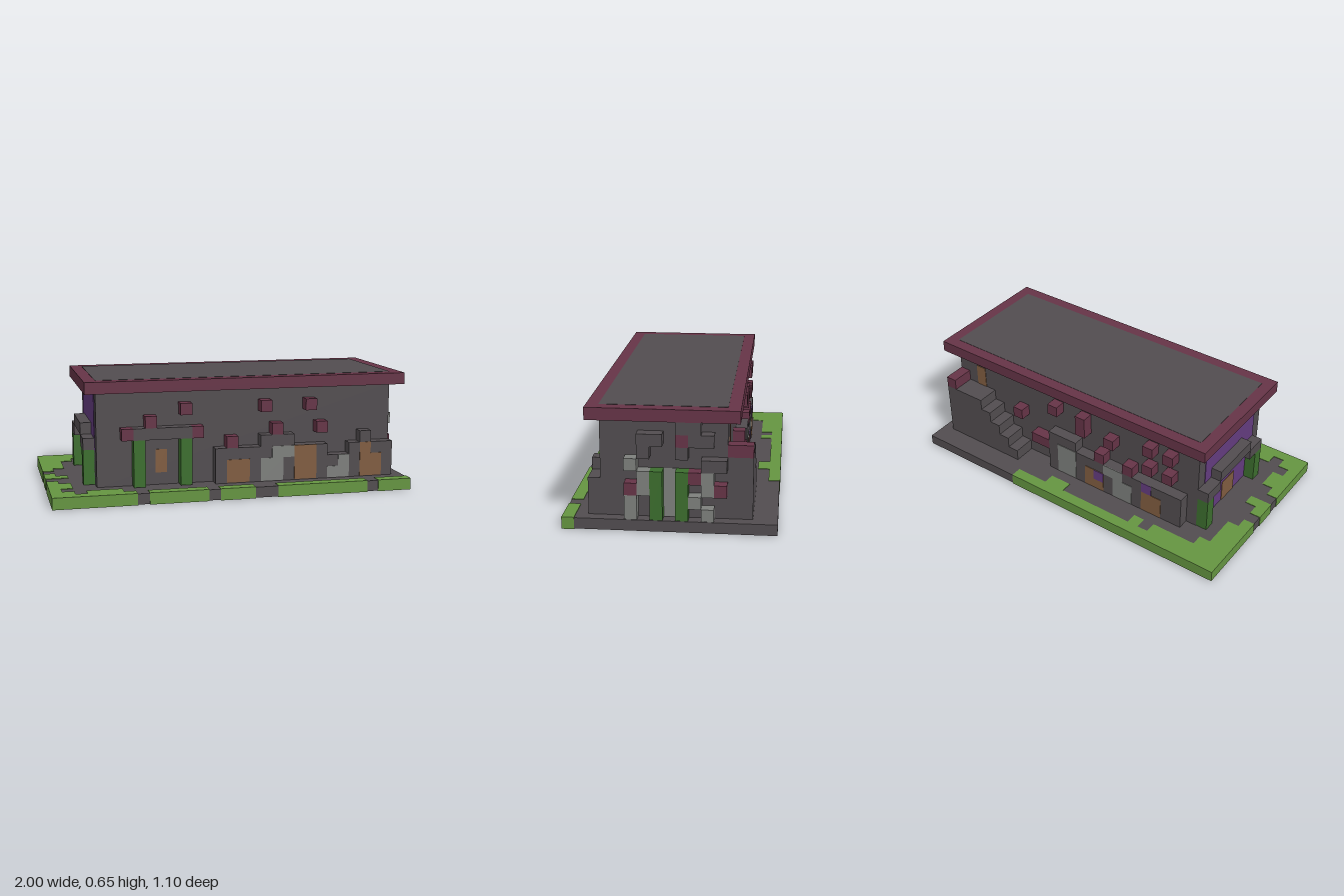
import * as THREE from 'three';

const V = 2 / 31; // one block; the layout grid is 31 x 10 x 17 blocks
const E = 0.003;  // thickness of painted plates

const mat = (name, color) => new THREE.MeshStandardMaterial({ name, color });
const stone = mat('dark stone', 0x524d50);
const red = mat('dark red', 0x663447);
const leaf = mat('leaf green', 0x3c6e2e);
const grass = mat('grass green', 0x659541);
const pale = mat('pale stone', 0x7e807d);
const wood = mat('wood brown', 0x815d41);
const purple = mat('purple', 0x643c80);

export function createModel() {
  const model = new THREE.Group();

  // box from block coordinates, grown by g on the axes given (world units)
  function box(parent, name, m, x0, x1, y0, y1, z0, z1, gx = 0, gy = 0, gz = 0) {
    const geo = new THREE.BoxGeometry((x1 - x0) * V + 2 * gx, (y1 - y0) * V + 2 * gy, (z1 - z0) * V + 2 * gz);
    const mesh = new THREE.Mesh(geo, m);
    mesh.name = name;
    mesh.position.set(((x0 + x1) / 2 - 15.5) * V, ((y0 + y1) / 2) * V, ((z0 + z1) / 2 - 8.5) * V);
    parent.add(mesh);
    return mesh;
  }
  function group(name) {
    const g = new THREE.Group();
    g.name = name;
    model.add(g);
    return g;
  }

  // ground slab with grass blocks around its edge
  const ground = group('ground');
  box(ground, 'slab', stone, 0, 31, 0, 1, 0, 17, -E, -E, -E);
  const grassRuns = [
    [0, 21, 0, 1], [0, 7, 1, 2], [8, 9, 1, 2], [16, 18, 1, 2],
    [0, 3, 2, 3], [0, 2, 3, 6], [0, 1, 6, 7], [0, 1, 8, 9], [0, 2, 9, 10],
    [0, 1, 11, 12], [0, 2, 12, 14], [0, 1, 14, 15], [0, 2, 15, 16], [3, 6, 15, 16],
    [0, 7, 16, 17], [8, 13, 16, 17], [14, 17, 16, 17], [19, 27, 16, 17], [28, 31, 16, 17],
  ];
  for (const [x0, x1, z0, z1] of grassRuns) box(ground, 'grass', grass, x0, x1, 0, 1, z0, z1);
  // earth and grass on the underside
  box(ground, 'earth', wood, 4, 29, 0.025, 0.1, 3, 14);
  for (const [x0, x1] of [[12, 26], [27.5, 28.5], [5, 6]]) {
    box(ground, 'undersideGrass', grass, x0, x1, 0, 0.1, 5, 13);
  }

  // main block and roof
  box(model, 'walls', stone, 4, 30, 0.9, 9, 4, 14);
  const roof = group('roof');
  box(roof, 'roofRim', red, 3, 31, 9, 10, 3, 15);
  box(roof, 'roofDeck', stone, 4, 30, 9.9, 10, 4, 14, 0, E / 2, 0);

  // front wing with a stepped top
  const front = group('frontWing');
  for (const [x0, x1, top] of [[14, 18, 4], [18, 21, 5], [21, 24, 4], [24, 26, 3], [26, 27, 4], [27, 28, 5], [28, 30, 4]]) {
    box(front, 'wingBlock', stone, x0, x1, 0.9, top, 14, 15);
  }
  const frontPaint = [
    [wood, 15, 17, 1, 3], [pale, 18, 20, 1, 3], [pale, 19, 21, 3, 4], [wood, 21, 23, 1, 4],
    [pale, 24, 25, 1, 2], [pale, 25, 26, 1, 3], [wood, 27, 28, 1, 4], [wood, 28, 29, 1, 3],
  ];
  for (const [m, x0, x1, y0, y1] of frontPaint) box(front, 'frontPanel', m, x0, x1, y0, y1, 14.95, 15, 0, 0, E);

  // front portico
  const portico = group('frontPortico');
  for (const x of [7, 11]) box(portico, 'greenColumn', leaf, x, x + 1, 1, 5, 14, 15);
  box(portico, 'lintel', stone, 7, 12, 5, 6, 14, 15);
  box(portico, 'frontDoor', wood, 9, 10, 2, 4, 13.95, 14, 0, 0, E);

  // red blocks standing out from the front wall
  for (const [x, y] of [[11, 7], [18, 7], [22, 7], [8, 6], [6, 5], [12, 5], [15, 4], [19, 5], [23, 5]]) {
    box(model, 'frontBrick', red, x, x + 1, y, y + 1, 14, 15);
  }

  // outside staircase on the back
  const stairs = group('staircase');
  for (const [x0, x1, top] of [[22, 23, 2], [23, 24, 3], [24, 25, 4], [25, 26, 5], [26, 30, 6]]) {
    box(stairs, 'step', stone, x0, x1, 0.9, top, 2, 4);
  }
  box(stairs, 'topBlock', red, 29, 30, 6, 7, 2, 4);
  box(stairs, 'upperDoor', wood, 27, 28, 6, 8, 4, 4.05, 0, 0, E);

  // back wing
  const back = group('backWing');
  box(back, 'lowWing', stone, 5, 16, 0.9, 4, 3, 4);
  box(back, 'tallWing', stone, 16, 19, 0.9, 5, 3, 4);
  const backPaint = [
    [pale, 16, 18, 1, 4], [wood, 13, 15, 1, 3], [purple, 13, 14, 2, 3, 1], [pale, 10, 12, 1, 3],
    [pale, 11, 13, 3, 4], [wood, 7, 9, 1, 3], [purple, 8, 9, 3, 4],
  ];
  for (const [m, x0, x1, y0, y1, lift = 0] of backPaint) {
    box(back, 'backPanel', m, x0, x1, y0, y1, 3, 3.05, 0, 0, E * (1 + lift));
  }
  for (const [x, y, w, h] of [[22, 5, 1, 1], [18, 7, 1, 1], [15, 6, 1, 2], [19, 3, 2, 1], [12, 6, 1, 1],
    [8, 7, 1, 1], [6, 7, 1, 1], [13, 4, 1, 1], [10, 4, 1, 1], [8, 5, 1, 1], [6, 5, 1, 1]]) {
    box(model, 'backBrick', red, x, x + w, y, y + h, 3, 4);
  }

  // purple side wall with its porch
  const porch = group('sidePorch');
  box(porch, 'purpleWall', purple, 4, 4.05, 1, 9, 5, 13, E, 0, 0);
  box(porch, 'sideDoor', wood, 4, 4.05, 1, 3, 8, 10, E * 2, 0, 0);
  for (const z of [4, 12]) box(porch, 'porchPost', leaf, 3, 4, 1, 4, z, z + 1);
  for (const z of [4, 11]) box(porch, 'porchBeam', stone, 3, 4, 4, 5, z, z + 2);
  box(porch, 'porchTop', stone, 3, 4, 5, 6, 6, 11);

  // ruined block pattern on the other end: [material, z, y, height, width]
  const ruin = group('endWallBlocks');
  const blocks = [
    [pale, 11, 1, 2], [red, 11, 3, 1], [pale, 10, 3, 2], [pale, 11, 5, 1], [pale, 10, 4, 1],
    [leaf, 9, 1, 4], [leaf, 7, 1, 4], [red, 6, 4, 1], [pale, 6, 2, 1],
    [pale, 5, 1, 1], [pale, 5, 3, 2], [red, 4, 3, 1],
    [stone, 9, 7, 1, 2], [red, 7, 7, 1], [stone, 7, 6, 1], [stone, 5, 7, 1, 2], [stone, 6, 8, 1, 2],
    [stone, 10, 6, 1], [stone, 4, 5, 1, 2],
  ];
  for (const [m, z, y, h, w = 1] of blocks) box(ruin, 'endBlock', m, 30, 31, y, y + h, z, z + w);
  box(ruin, 'palePanel', pale, 29.95, 30, 1, 5, 8, 9, E, 0, 0);

  return model;
}
